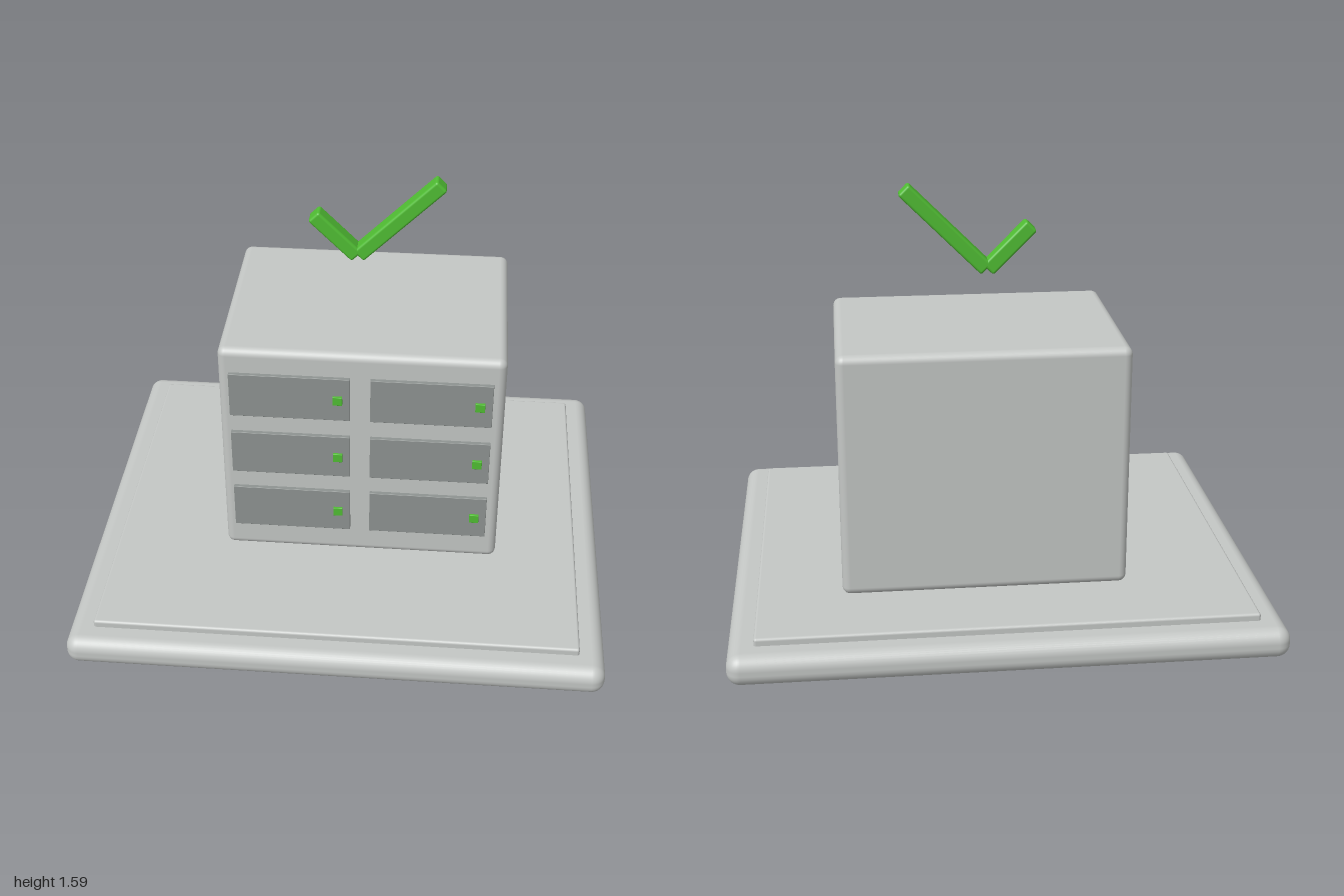
import * as THREE from 'three';
import { RoundedBoxGeometry } from 'three/addons/geometries/RoundedBoxGeometry.js';

function material(name, color) {
  const m = new THREE.MeshStandardMaterial({ color });
  m.name = name;
  return m;
}

export function createModel() {
  const grey = material('light grey', 0xc4c7c5);
  const dark = material('drawer grey', 0x8e9391);
  const green = material('green', 0x50bd33);
  const model = new THREE.Group();
  model.name = 'serverCabinet';

  // Rounded block given by its size and centre
  function block(name, mat, size, centre, radius, parent = model) {
    const mesh = new THREE.Mesh(new RoundedBoxGeometry(...size, 4, radius), mat);
    mesh.name = name;
    mesh.position.set(...centre);
    parent.add(mesh);
    return mesh;
  }

  // Stepped platform
  block('base', grey, [2, 0.115, 1.75], [0, 0.0575, 0], 0.05);
  block('basePlate', grey, [1.81, 0.05, 1.56], [0, 0.117, 0], 0.01);

  // Cabinet body
  block('cabinet', grey, [1.06, 0.925, 0.78], [0.06, 0.6025, -0.095], 0.03);

  // Two columns of three drawers, each with an indicator light
  for (const x of [-0.205, 0.32]) {
    for (const y of [0.35, 0.612, 0.875]) {
      const drawer = new THREE.Group();
      drawer.name = 'drawer';
      drawer.position.set(x, y, 0);
      model.add(drawer);
      block('drawerFront', dark, [0.45, 0.185, 0.025], [0, 0, 0.2975], 0.002, drawer);
      block('indicatorLight', green, [0.036, 0.036, 0.02], [0.179, 0, 0.31], 0.002, drawer);
    }
  }

  // Check mark floating above the cabinet
  const check = new THREE.Group();
  check.name = 'checkMark';
  check.position.z = -0.095;
  model.add(check);
  block('checkShortStroke', green, [0.23, 0.056, 0.064], [-0.067, 1.349, 0], 0.01, check).rotation.z = -Math.PI / 4;
  block('checkLongStroke', green, [0.43, 0.056, 0.064], [0.172, 1.422, 0], 0.01, check).rotation.z = Math.PI / 4;

  return model;
}
